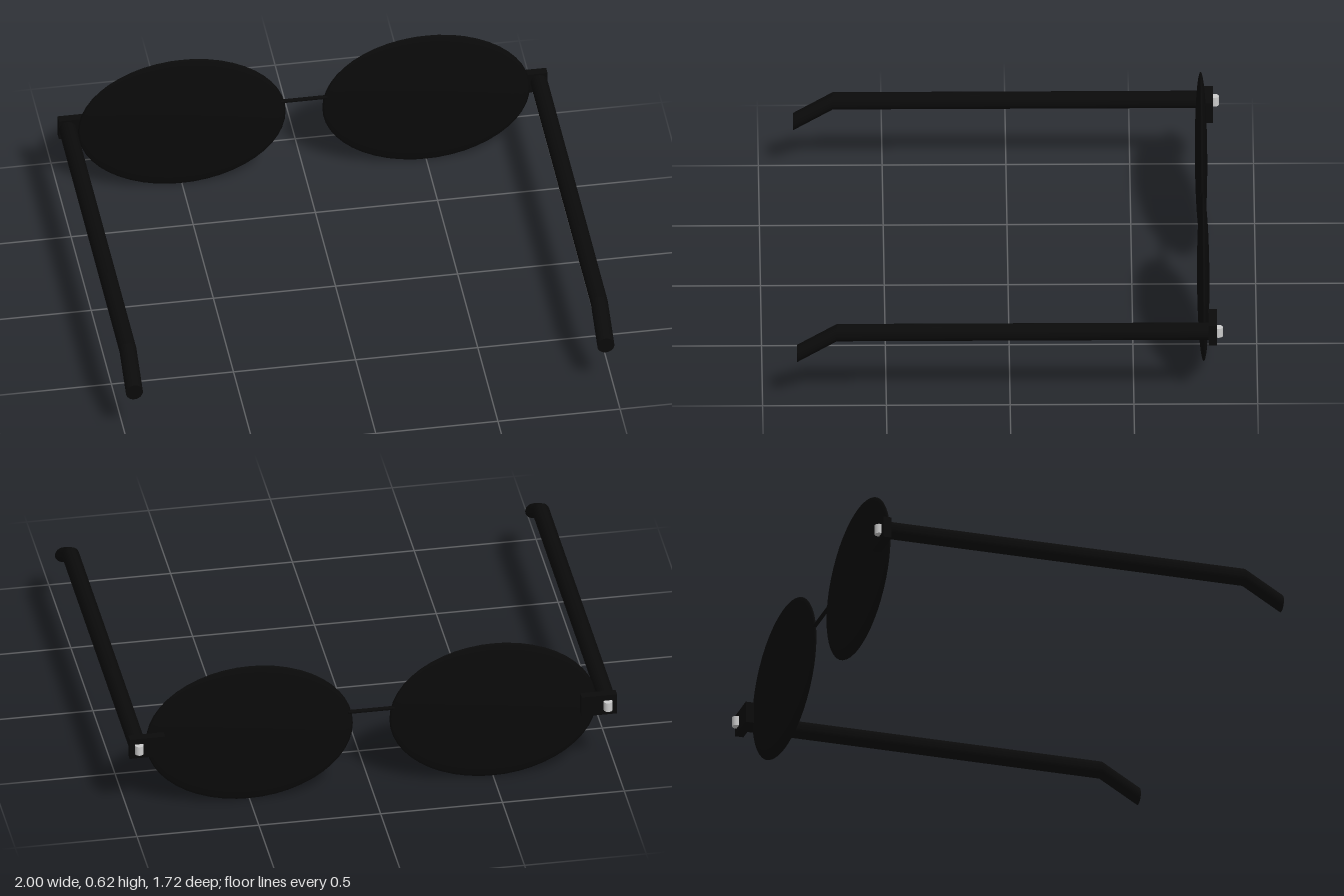
import * as THREE from 'three';
import { toCreasedNormals } from 'three/addons/utils/BufferGeometryUtils.js';

const black = new THREE.MeshStandardMaterial({ color: 0x0a0a0a });
const grey = new THREE.MeshStandardMaterial({ color: 0xcccccc });

function part(name, geometry, material, x, y, z) {
  const mesh = new THREE.Mesh(geometry, material);
  mesh.name = name;
  mesh.position.set(x, y, z);
  return mesh;
}

// Round bar along z whose rear section is sheared downward, with an upright cut at the tip
function templeGeometry() {
  const g = new THREE.CylinderGeometry(0.035, 0.035, 2, 24, 2).rotateX(Math.PI / 2);
  const p = g.attributes.position;
  const stations = [[-0.81, 0], [0.7, 0], [0.86, -0.095]]; // z, drop in y
  for (let i = 0; i < p.count; i++) {
    const [z, drop] = stations[Math.round(p.getZ(i)) + 1];
    p.setZ(i, z);
    p.setY(i, p.getY(i) + drop);
  }
  return toCreasedNormals(g, 0.45);
}

export function createModel() {
  const model = new THREE.Group();
  model.name = 'sunglasses';

  // Thin lens-shaped ellipsoid, temple, hinge block and upright hinge pin
  const lens = new THREE.SphereGeometry(1, 32, 24).scale(0.425, 0.311, 0.025);
  const temple = templeGeometry();
  const hinge = new THREE.BoxGeometry(0.145, 0.09, 0.035);
  const pin = new THREE.CylinderGeometry(0.018, 0.018, 0.04, 20);

  for (const [side, s] of [['left', 1], ['right', -1]]) {
    const group = new THREE.Group();
    group.name = side + 'Side';
    group.add(
      part(side + 'Lens', lens, black, s * 0.5, 0.312, -0.784),
      part(side + 'Temple', temple, black, s * 0.965, 0.318, 0),
      part(side + 'Hinge', hinge, black, s * 0.9275, 0.315, -0.8185),
      part(side + 'HingePin', pin, grey, s * 0.962, 0.315, -0.842)
    );
    model.add(group);
  }

  // Thin bridge wire between the lenses
  const wire = new THREE.CylinderGeometry(0.008, 0.008, 0.19, 12).rotateZ(Math.PI / 2);
  model.add(part('bridge', wire, black, 0, 0.363, -0.784));
  return model;
}
